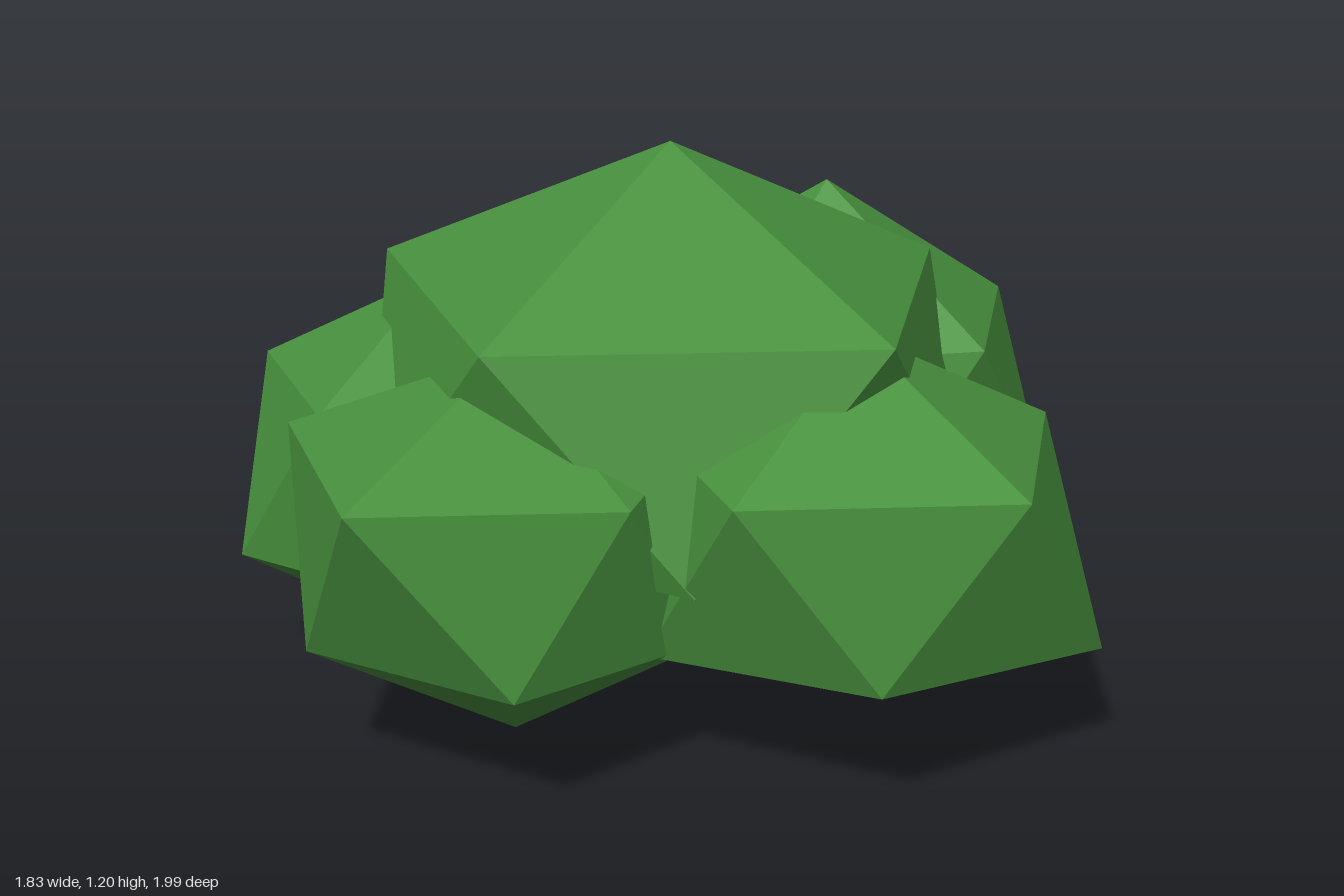
import * as THREE from 'three';

const leafGreen = new THREE.MeshStandardMaterial({ color: 0x48913e });
leafGreen.name = 'leafGreen';
leafGreen.flatShading = true;

// Uneven icosahedron: two poles and two five-sided rings of [radius, height].
// The lower ring is turned half a step against the upper one.
function clump(name, x, z, top, upper, lower, bottom) {
  const ring = (list, turn) => list.map(([r, y], i) => {
    const a = (i + turn) * Math.PI * 2 / 5;
    return [x + r * Math.cos(a), y, z + r * Math.sin(a)];
  });
  const u = ring(upper, 0), l = ring(lower, 0.5);
  const t = [x, top, z], b = [x, bottom, z];
  const pos = [];
  for (let i = 0; i < 5; i++) {
    const j = (i + 1) % 5;
    pos.push(t, u[j], u[i], u[i], u[j], l[i], l[i], u[j], l[j], b, l[i], l[j]);
  }
  const g = new THREE.BufferGeometry();
  g.setAttribute('position', new THREE.Float32BufferAttribute(pos.flat(), 3));
  g.computeVertexNormals();
  const mesh = new THREE.Mesh(g, leafGreen);
  mesh.name = name;
  return mesh;
}

export function createModel() {
  const bush = new THREE.Group();
  bush.name = 'bush';
  bush.add(
    // large crown on top
    clump('crownClump', -0.08, 0, 1.2,
      [[0.67, 0.93], [0.68, 0.94], [0.63, 0.92], [0.71, 0.945], [0.61, 0.895]],
      [[0.66, 0.47], [0.68, 0.46], [0.56, 0.46], [0.68, 0.46], [0.64, 0.47]], 0.2),
    // four smaller clumps around it
    clump('rightClump', -0.48, 0.32, 0.88,
      [[0.42, 0.68], [0.41, 0.69], [0.4, 0.67], [0.41, 0.67], [0.42, 0.68]],
      [[0.45, 0.3], [0.46, 0.3], [0.44, 0.31], [0.45, 0.3], [0.44, 0.3]], 0),
    clump('frontClump', 0.01, 0.5, 0.88,
      [[0.39, 0.67], [0.515, 0.72], [0.465, 0.69], [0.45, 0.69], [0.45, 0.69]],
      [[0.41, 0.32], [0.43, 0.31], [0.33, 0.3], [0.42, 0.3], [0.42, 0.3]], 0.05),
    clump('leftClump', 0.44, -0.05, 0.91,
      [[0.47, 0.7], [0.485, 0.71], [0.46, 0.7], [0.46, 0.7], [0.43, 0.68]],
      [[0.415, 0.32], [0.46, 0.29], [0.45, 0.29], [0.51, 0.28], [0.51, 0.28]], 0.12),
    clump('backClump', -0.165, -0.525, 1.0,
      [[0.5, 0.73], [0.47, 0.7], [0.47, 0.7], [0.47, 0.7], [0.45, 0.69]],
      [[0.46, 0.28], [0.46, 0.28], [0.465, 0.29], [0.5, 0.28], [0.53, 0.28]], 0.07),
  );
  return bush;
}
